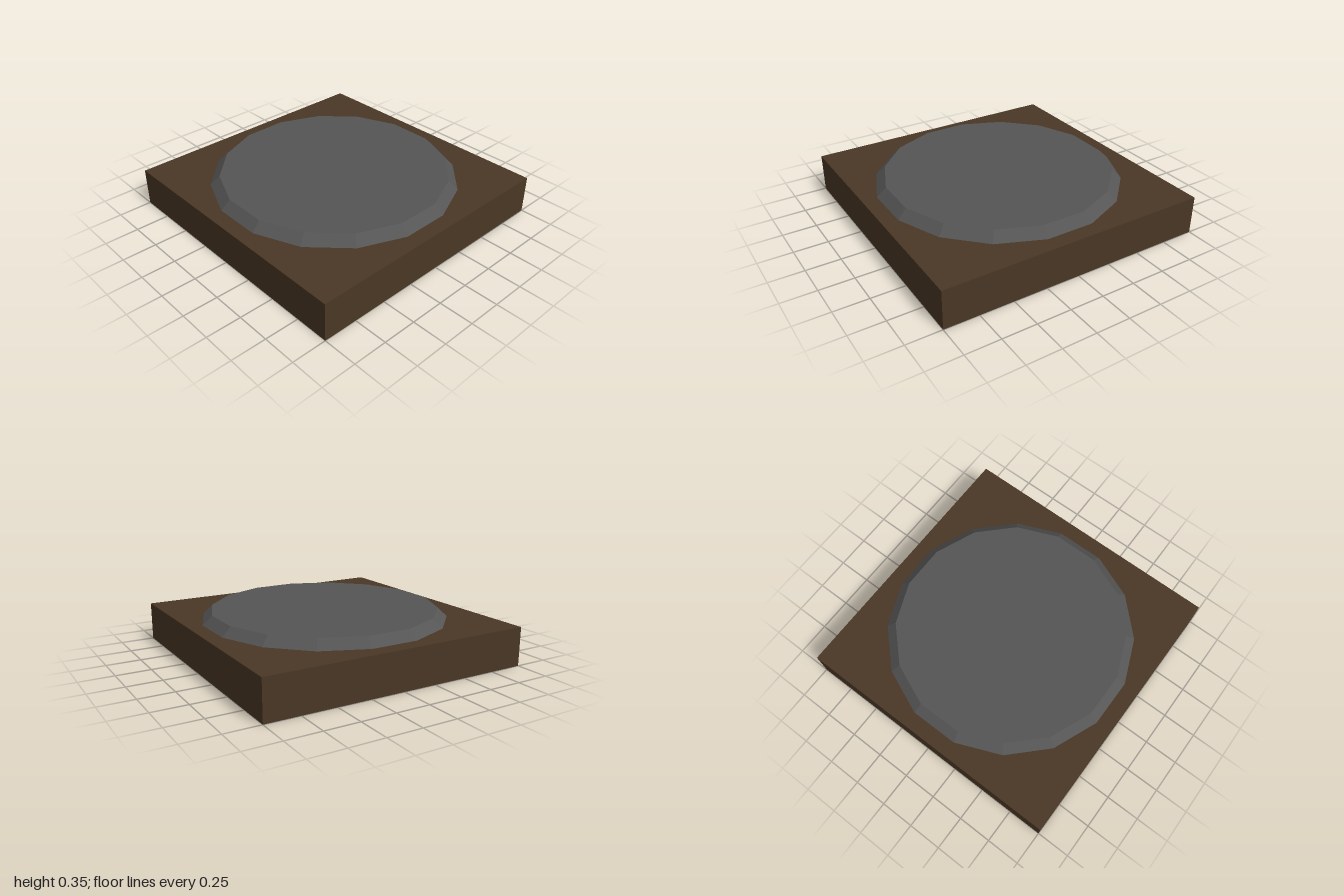
import * as THREE from 'three';

export function createModel() {
  const group = new THREE.Group();
  const brown = new THREE.MeshStandardMaterial({ color: 0x4a3725 });
  brown.name = 'darkBrown';
  const grey = new THREE.MeshStandardMaterial({ color: 0x555555, flatShading: true });
  grey.name = 'darkGrey';

  const baseHeight = 0.285;
  const plateHeight = 0.065;
  const sides = 16;

  // Square slab
  const base = new THREE.Mesh(new THREE.BoxGeometry(2, baseHeight, 2), brown);
  base.name = 'base';
  base.position.y = baseHeight / 2;
  group.add(base);

  // Bevelled sixteen-sided plate, turned half a step so flats face the slab's edges
  const plate = new THREE.Mesh(
    new THREE.CylinderGeometry(0.836, 0.905, plateHeight, sides), grey);
  plate.name = 'plate';
  plate.rotation.y = Math.PI / sides;
  plate.position.y = baseHeight + plateHeight / 2;
  group.add(plate);

  return group;
}
